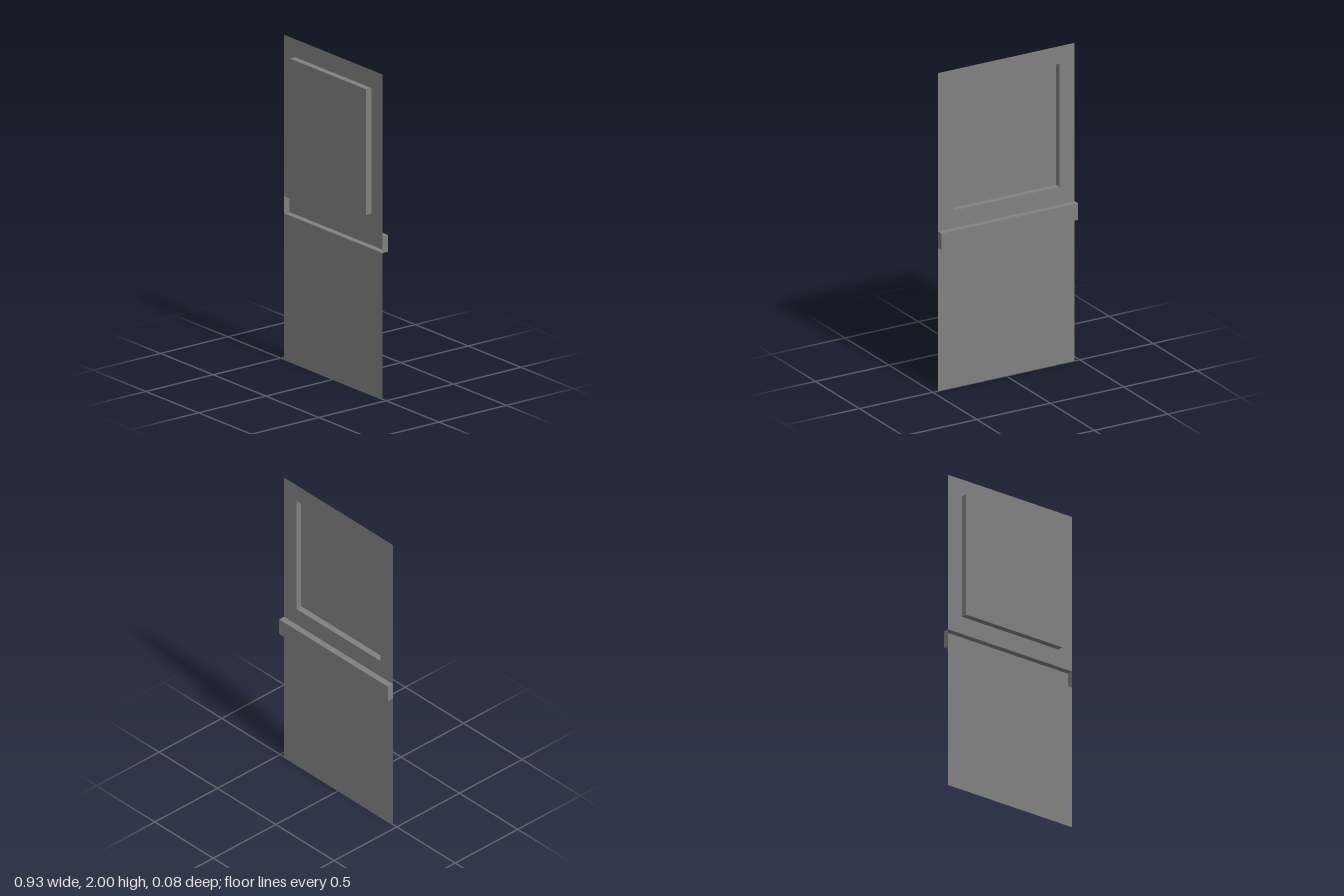
import * as THREE from 'three';

const HALF_W = 0.466, HEIGHT = 2, DEPTH = 0.039;
const PANEL = { x: 0.361, y0: 1.115, y1: 1.889 };
const RAIL = { x: HALF_W, y0: 0.9, y1: 1.004 };

const grey = new THREE.MeshStandardMaterial({ color: 0x808080, side: THREE.DoubleSide });
grey.name = 'grey sheet';

function rectangle(Type, { x, y0, y1 }) {
  return new Type([[-x, y0], [x, y0], [x, y1], [-x, y1]].map(p => new THREE.Vector2(...p)));
}

function sheet(name, shape) {
  const mesh = new THREE.Mesh(new THREE.ShapeGeometry(shape), grey);
  mesh.name = name;
  return mesh;
}

// A pressed tray: a flat face at depth z joined to the sheet by four thin walls
function pressing(name, area, z) {
  const group = new THREE.Group();
  group.name = name;
  const face = sheet(name + 'Face', rectangle(THREE.Shape, area));
  face.position.z = z;
  group.add(face);

  const { x, y0, y1 } = area;
  const depth = Math.abs(z);
  for (const side of [-1, 1]) {
    const end = new THREE.Mesh(new THREE.PlaneGeometry(depth, y1 - y0), grey);
    end.name = name + 'SideWall';
    end.rotation.y = side * Math.PI / 2;
    end.position.set(side * x, (y0 + y1) / 2, z / 2);

    const ledge = new THREE.Mesh(new THREE.PlaneGeometry(2 * x, depth), grey);
    ledge.name = name + (side > 0 ? 'TopWall' : 'BottomWall');
    ledge.rotation.x = -side * Math.PI / 2;
    ledge.position.set(0, side > 0 ? y1 : y0, z / 2);
    // Walls of a recess face the opposite way to those of a raised panel
    if (z < 0) {
      end.rotation.y *= -1;
      ledge.rotation.x *= -1;
    }
    group.add(end, ledge);
  }
  return group;
}

export function createModel() {
  const model = new THREE.Group();
  model.name = 'doorSkin';

  // Upper sheet, open behind the raised panel
  const upper = rectangle(THREE.Shape, { x: HALF_W, y0: RAIL.y1, y1: HEIGHT });
  upper.holes.push(rectangle(THREE.Path, PANEL));
  model.add(sheet('upperSheet', upper));

  // Lower sheet, below the recessed rail
  model.add(sheet('lowerSheet', rectangle(THREE.Shape, { x: HALF_W, y0: 0, y1: RAIL.y0 })));

  model.add(pressing('raisedPanel', PANEL, DEPTH));
  model.add(pressing('recessedRail', RAIL, -DEPTH));
  return model;
}
